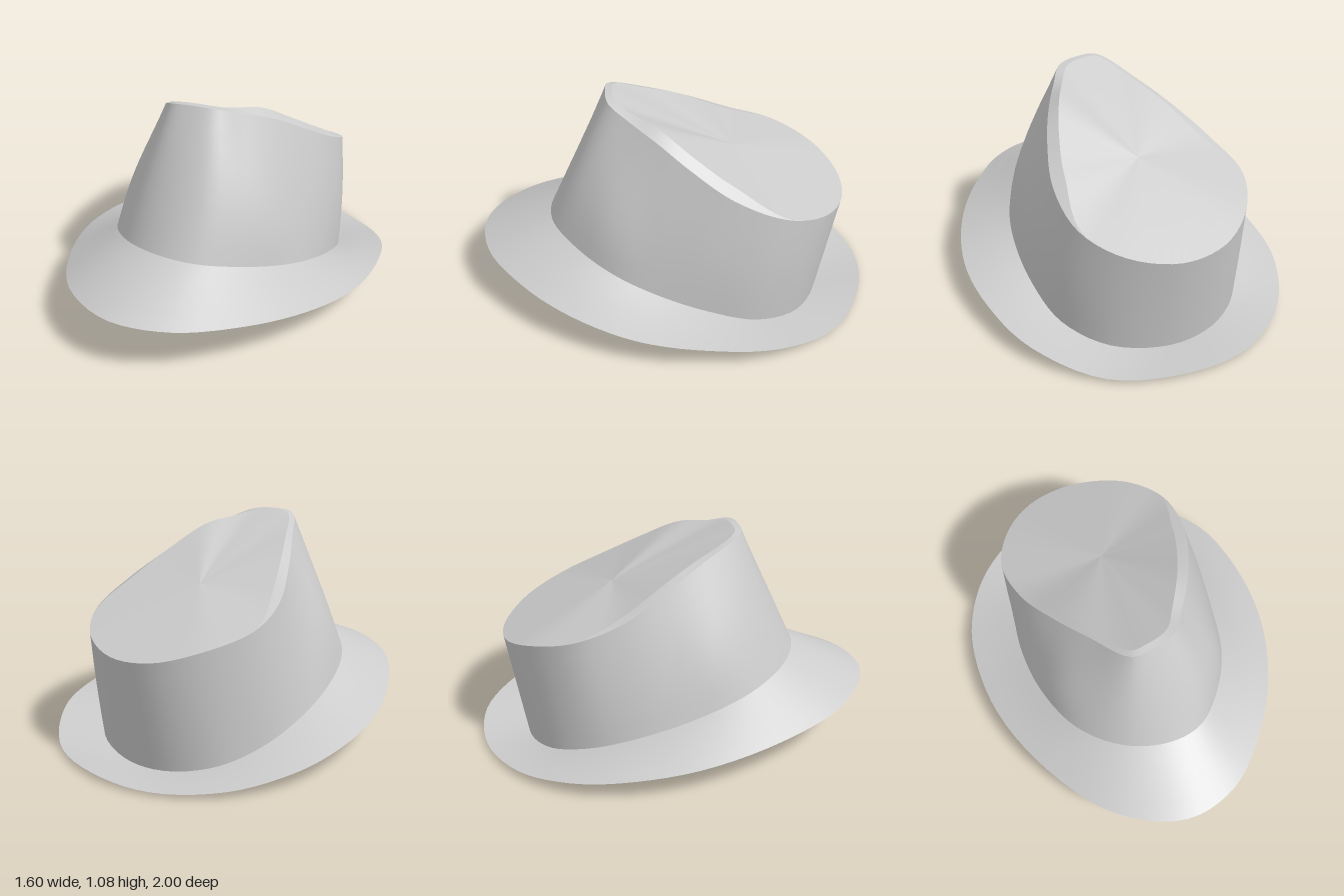
import * as THREE from 'three';

const SEG = 80;
const V = (x, y, z) => new THREE.Vector3(x, y, z);
const { smoothstep } = THREE.MathUtils;

// Closed smooth loop through control points, running from the front towards +x
function loop(points) {
  const curve = new THREE.CatmullRomCurve3(points, true, 'centripetal');
  return Array.from({ length: SEG }, (_, i) => curve.getPoint(i / SEG));
}

// Flat outline lifted onto a tilted plane y = h + sx * x + sz * z, with an optional lift per point
const onPlane = (points, h, sx, sz) =>
  loop(points.map(([x, z, lift = 0]) => V(x, h + sx * x + sz * z + lift, z)));

// Rows blended between two loops, with an optional offset rule
function rowsBetween(a, b, n, shape = (p) => p) {
  return Array.from({ length: n + 1 }, (_, j) =>
    a.map((p, i) => shape(p.clone().lerp(b[i], j / n), j / n)));
}

// Skin a stack of closed rows
function loft(name, rows, material) {
  const position = [], index = [];
  rows.forEach((row) => row.forEach((p) => position.push(p.x, p.y, p.z)));
  for (let j = 0; j < rows.length - 1; j++) {
    for (let i = 0; i < SEG; i++) {
      const k = (i + 1) % SEG;
      const a = j * SEG + i, b = j * SEG + k, c = a + SEG, d = b + SEG;
      index.push(a, b, d, a, d, c);
    }
  }
  const g = new THREE.BufferGeometry();
  g.setAttribute('position', new THREE.Float32BufferAttribute(position, 3));
  g.setIndex(index);
  g.computeVertexNormals();
  const mesh = new THREE.Mesh(g, material);
  mesh.name = name;
  return mesh;
}

export function createModel() {
  const hat = new THREE.Group();
  hat.name = 'hat';
  const felt = new THREE.MeshStandardMaterial({ color: 0xcccccc, side: THREE.DoubleSide });

  // Outer edge of the brim, slightly wavy at the back
  const brimEdge = onPlane([
    [0.1, 1], [0.38, 0.9], [0.6, 0.64], [0.74, 0.34], [0.8, 0], [0.76, -0.34, 0.012],
    [0.63, -0.66, 0.01], [0.34, -0.91, -0.022], [-0.05, -1], [-0.38, -0.92, -0.012],
    [-0.64, -0.7, -0.014], [-0.77, -0.43, -0.005], [-0.8, -0.18], [-0.74, 0.18],
    [-0.54, 0.57], [-0.25, 0.88],
  ], 0.145, 0.02, 0.116);

  // Head opening, where crown and brim meet
  const opening = onPlane([
    [0.1, 0.625], [0.28, 0.57], [0.43, 0.38], [0.51, 0.18], [0.535, -0.03], [0.515, -0.28],
    [0.44, -0.52], [0.25, -0.7], [-0.04, -0.765], [-0.28, -0.71], [-0.45, -0.57],
    [-0.53, -0.37], [-0.54, -0.15], [-0.485, 0.14], [-0.345, 0.415], [-0.13, 0.58],
  ], 0.235, 0.02, 0.3);

  // Upper edge of the crown: high pinched front, low round back
  const crownEdge = loop([
    [0.06, 1.08, 0.33], [0.18, 1.07, 0.28], [0.25, 1.025, 0.16], [0.325, 0.965, 0],
    [0.38, 0.88, -0.16], [0.42, 0.765, -0.38], [0.375, 0.665, -0.62], [0.21, 0.595, -0.79],
    [-0.04, 0.555, -0.86], [-0.27, 0.57, -0.81], [-0.44, 0.625, -0.66], [-0.53, 0.69, -0.43],
    [-0.47, 0.765, -0.2], [-0.34, 0.88, 0], [-0.2, 0.98, 0.17], [-0.04, 1.07, 0.34],
  ].map((p) => V(...p)));

  // Inner line of the bevelled rim, standing higher on the left and fading out at the back
  const centre = V(-0.03, 0.8, -0.3);
  const creaseEdge = crownEdge.map((p) => {
    const left = p.x > 0;
    const s = left ? smoothstep(p.z, -0.7, -0.35) : smoothstep(p.z, -0.45, -0.1);
    const rise = (left ? 0.035 : 0.02) * (1 - smoothstep(p.z, 0.02, 0.28));
    return V(
      p.x + (centre.x - p.x) * 0.14 * s,
      p.y + rise * s,
      p.z + (centre.z - p.z) * 0.05 * s,
    );
  });

  // Crown sides swell at mid height, most at the front corners
  const swell = (p, t) => {
    const amount = (p.x > 0 ? 0.035 : 0.005) + 0.08 * smoothstep(p.z, 0, 0.3);
    return V(p.x * (1 + amount * Math.sin(Math.PI * t)), p.y, p.z);
  };

  hat.add(
    loft('brim', rowsBetween(brimEdge, opening, 4), felt),
    loft('crownWall', rowsBetween(opening, crownEdge, 8, swell), felt),
    loft('crownRim', rowsBetween(crownEdge, creaseEdge, 2), felt),
    loft('crownTop', rowsBetween(creaseEdge, creaseEdge.map(() => centre), 6), felt),
  );
  return hat;
}
